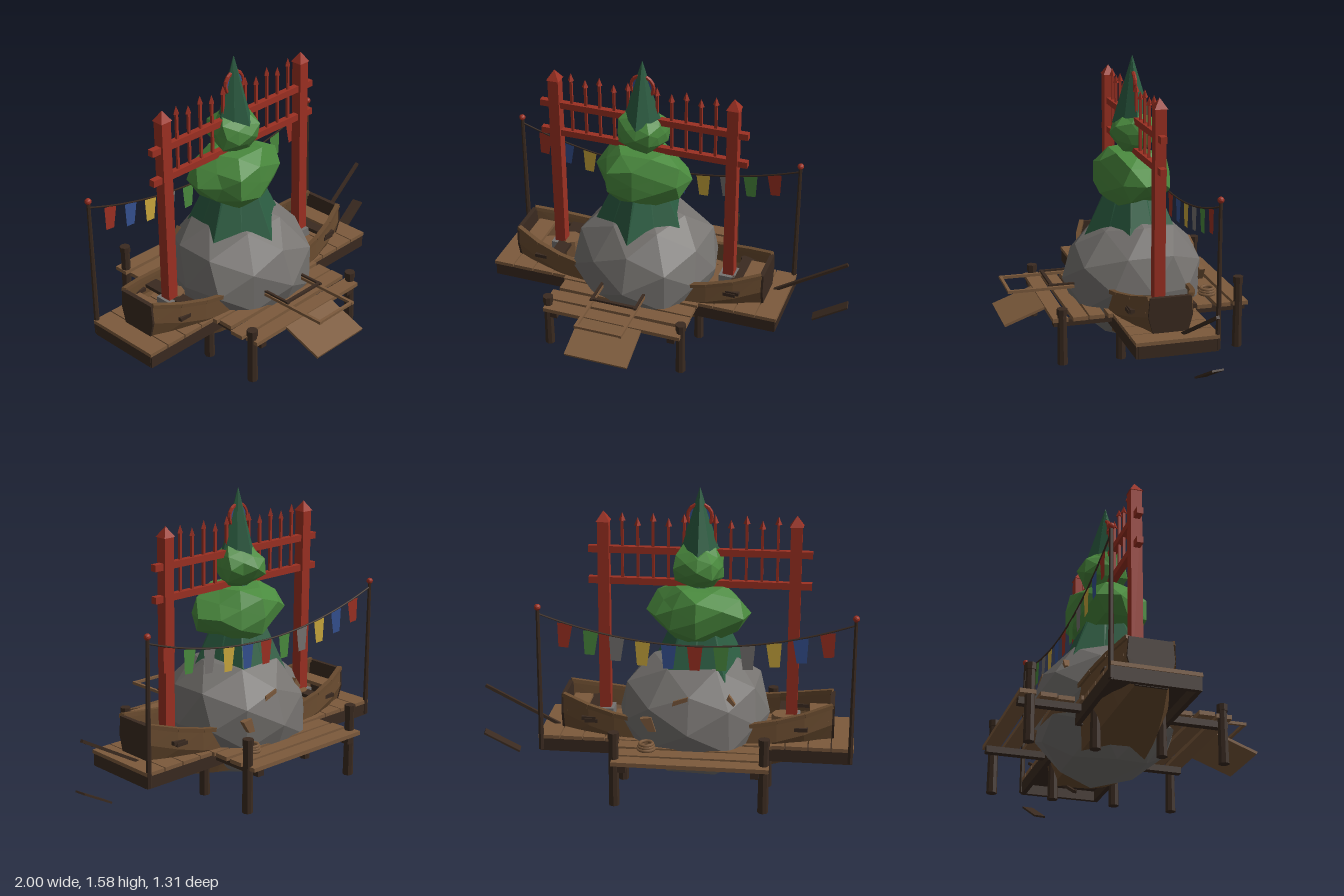
import * as THREE from 'three';

const mat = (name, color) => Object.assign(new THREE.MeshStandardMaterial({ color }), { name });
const CX = -0.165, CZ = -0.11; // axis shared by boat, boulder, tree and gate

export function createModel() {
  const root = new THREE.Group();
  const wood = mat('plank wood', 0x7c5a3c), hullWood = mat('hull wood', 0x694b2f), dark = mat('dark wood', 0x3a2a20);
  const red = mat('red paint', 0x9c3022), stone = mat('grey stone', 0x75726f);
  const leaf = mat('light needles', 0x4a8a3e), pine = mat('dark needles', 0x2b5c41);
  const yellow = mat('yellow cloth', 0xc9a63c), blue = mat('blue cloth', 0x34508f);
  const hullSkin = hullWood.clone();
  hullSkin.side = THREE.DoubleSide;
  const twoSided = (m) => Object.assign(m.clone(), { side: THREE.DoubleSide });

  const flat = (g) => {
    const n = g.index ? g.toNonIndexed() : g;
    n.computeVertexNormals();
    return n;
  };
  const add = (name, geo, m, x = 0, y = 0, z = 0) => {
    const mesh = new THREE.Mesh(geo, m);
    mesh.name = name;
    mesh.position.set(x, y, z);
    root.add(mesh);
    return mesh;
  };
  const box = (name, m, w, h, d, x, y, z) => add(name, new THREE.BoxGeometry(w, h, d), m, x, y, z);
  const cyl = (name, m, rt, rb, h, sides, x, y, z) =>
    add(name, flat(new THREE.CylinderGeometry(rt, rb, h, sides)), m, x, y, z);
  // square bar whose long axis runs from a to b
  const bar = (name, m, a, b, w, t) => {
    const p = new THREE.Vector3(...a), q = new THREE.Vector3(...b);
    const mesh = add(name, new THREE.BoxGeometry(w, t, p.distanceTo(q)), m);
    mesh.position.copy(p).add(q).multiplyScalar(0.5);
    mesh.lookAt(q);
    return mesh;
  };
  // faceted lump: icosphere whose vertices are pushed in or out by a position hash
  const lump = (name, m, r, c, amount, seed) => {
    const g = new THREE.IcosahedronGeometry(1, 1), p = g.attributes.position, v = new THREE.Vector3();
    for (let i = 0; i < p.count; i++) {
      v.fromBufferAttribute(p, i);
      const k = Math.sin(Math.round(v.x * 50) * 1.7 + Math.round(v.y * 50) * 2.9 + Math.round(v.z * 50) * 4.3 + seed);
      v.multiplyScalar(1 + amount * k);
      p.setXYZ(i, v.x * r[0], v.y * r[1], v.z * r[2]);
    }
    return add(name, flat(g), m, ...c);
  };

  // Boulder
  lump('boulder', stone, [0.415, 0.365, 0.395], [-0.145, 0.368, CZ], 0.035, 1);

  // Tree: ragged skirt, two leafy tiers and a pointed crown
  const ragged = (name, rTop, rBottom, h, sides, y, ragY) => {
    const g = new THREE.CylinderGeometry(rTop, rBottom, h, sides, 1), p = g.attributes.position;
    for (let i = 0; i < p.count; i++) {
      if (p.getY(i) > 0) continue;
      const a = Math.round((Math.atan2(p.getX(i), p.getZ(i)) / (Math.PI * 2)) * sides + sides);
      const k = a % 2 ? 0.8 : 1.08;
      p.setXYZ(i, p.getX(i) * k, p.getY(i) + (a % 2 ? ragY : 0), p.getZ(i) * k);
    }
    return add(name, flat(g), pine, CX, y + h / 2, CZ);
  };
  ragged('treeSkirt', 0.04, 0.26, 0.52, 10, 0.575, 0.06);
  lump('lowerFoliage', leaf, [0.255, 0.165, 0.205], [CX, 0.92, CZ], 0.12, 4);
  lump('upperFoliage', leaf, [0.138, 0.125, 0.14], [CX, 1.17, CZ - 0.01], 0.12, 2);
  ragged('treeCrown', 0.002, 0.105, 0.36, 8, 1.22, 0.03);

  // Boat hull lofted from stations; u runs -1 to 1 along x
  const L = 0.715;
  const section = (u) => {
    const e = u * u, wTop = 0.225 - 0.115 * e * Math.abs(u), yTop = 0.355 + 0.105 * e;
    const wLow = 0.17 - 0.09 * e, yLow = 0.085 + 0.13 * e, x = CX + u * L;
    const wMid = wTop * 0.97 + 0.012, yMid = (yTop + yLow) / 2 + 0.02;
    return [[wTop, yTop], [wMid, yMid], [wLow, yLow], [-wLow, yLow], [-wMid, yMid], [-wTop, yTop]]
      .map(([z, y]) => [x, y, CZ + z]);
  };
  const stations = [-1, -0.8, -0.6, -0.4, -0.2, 0, 0.2, 0.4, 0.6, 0.8, 1].map(section);
  const hullPts = [];
  for (let i = 0; i < stations.length - 1; i++) {
    const s = stations[i], t = stations[i + 1];
    for (let j = 0; j < 5; j++) hullPts.push(...s[j], ...s[j + 1], ...t[j], ...t[j], ...s[j + 1], ...t[j + 1]);
    for (const j of [0, 5]) bar('gunwale', hullWood, s[j], t[j], 0.026, 0.022);
  }
  const hull = new THREE.BufferGeometry();
  hull.setAttribute('position', new THREE.Float32BufferAttribute(hullPts, 3));
  hull.computeVertexNormals();
  add('boatHull', hull, hullSkin);
  for (const u of [-1, 1]) {
    const shape = new THREE.Shape(section(u).map(([, y, z]) => new THREE.Vector2(-z, y)));
    const g = new THREE.ExtrudeGeometry(shape, { depth: 0.024, bevelEnabled: false });
    g.translate(0, 0, -0.012).rotateY(Math.PI / 2);
    add('transom', g, dark, CX + u * L, 0, 0);
    // inner end plank, bench and oar rests
    box('bench', dark, 0.075, 0.02, 0.36, CX + u * 0.47 + 0.1 * (u > 0), 0.355, CZ);
    box('endBench', wood, 0.1, 0.02, 0.25, CX + u * 0.645, 0.37, CZ);
    for (const s of [-1, 1]) box('hullCleat', dark, 0.07, 0.02, 0.02, CX + u * 0.555, 0.345, CZ + s * 0.175);
    box('gateFooting', stone, 0.09, 0.05, 0.1, CX + u * 0.5, 0.34, CZ);
  }
  cyl('barrel', wood, 0.06, 0.07, 0.2, 8, -0.62, 0.27, -0.13);

  // Side platforms: dark frames with crosswise planks
  for (const [x0, x1] of [[-1, -0.4], [0.07, 0.67]]) {
    const mid = (x0 + x1) / 2, w = x1 - x0;
    for (const z of [-0.325, 0.09]) box('platformBeam', dark, w - 0.02, 0.07, 0.025, mid, 0.217, z);
    for (const x of [x0 + 0.02, x1 - 0.02]) box('platformEndBeam', dark, 0.025, 0.07, 0.42, x, 0.217, -0.118);
    box('platformUnderside', dark, w - 0.03, 0.015, 0.42, mid, 0.243, -0.118);
    for (let i = 0; i < 5; i++) {
      box('platformPlank', wood, w / 5 - 0.006, 0.02, 0.445, x0 + (w / 5) * (i + 0.5), 0.261, -0.118);
    }
  }

  // Cross dock: lengthwise planks on stringers, front and back
  const planks = [-0.615, -0.513, -0.413, -0.315, 0.09, 0.187, 0.286, 0.388];
  planks.forEach((z, i) => {
    const p = box('dockPlank', wood, 0.8 - 0.015 * (i % 3), 0.022, 0.082, CX + 0.006 * ((i % 3) - 1), 0.262, z);
    p.rotation.y = 0.012 * Math.sin(i * 2.3);
  });
  for (const x of [-0.5, 0.175]) {
    box('dockStringer', dark, 0.04, 0.035, 0.32, x, 0.233, -0.49);
    box('dockStringer', dark, 0.04, 0.035, 0.34, x, 0.233, 0.25);
  }
  for (const x of [-0.545, 0.22]) {
    for (const [z, top] of [[0.38, 0.32], [0.06, 0.25], [-0.275, 0.25], [-0.6, 0.41]]) {
      cyl('piling', dark, 0.024, 0.028, top - 0.015, 8, x, (top + 0.015) / 2, z);
      if (top > 0.3) cyl('pilingCap', dark, 0.029, 0.029, 0.035, 8, x, top - 0.012, z);
    }
  }

  // Gangway ramp and the loose ladder jutting from the boulder
  bar('ramp', wood, [CX, 0.263, 0.42], [CX, 0.178, 0.65], 0.355, 0.014);
  for (const x of [-0.285, -0.035]) {
    box('ladderRail', wood, 0.016, 0.016, 0.42, x, 0.352, 0.41);
    box('ladderBrace', dark, 0.014, 0.01, 0.19, x, 0.37, 0.3);
  }
  box('ladderRung', dark, 0.265, 0.012, 0.018, -0.16, 0.37, 0.38);
  box('ladderEnd', wood, 0.265, 0.014, 0.016, -0.16, 0.352, 0.61);

  // Red gate: posts, rails, pickets and round crest
  for (const x of [-0.664, 0.338]) {
    box('gatePost', red, 0.06, 1.1, 0.06, x, 0.85, CZ);
    cyl('gatePostTip', red, 0, 0.05, 0.055, 4, x, 1.42, CZ).rotation.y = Math.PI / 4;
  }
  for (const y of [1.075, 1.243]) box('gateRail', red, 1.17, 0.036, 0.034, CX, y, CZ);
  for (let i = 0; i < 11; i++) {
    const x = -0.57 + i * 0.081, top = i % 2 ? 1.375 : 1.4;
    box('picket', red, 0.014, top - 1.07, 0.014, x, (top + 1.07) / 2, CZ);
    cyl('picketTip', red, 0, 0.018, 0.045, 4, x, top + 0.02, CZ);
  }
  add('gateCrest', flat(new THREE.TorusGeometry(0.062, 0.011, 6, 16)), red, CX, 1.432, CZ);
  const disc = cyl('crestDisc', blue, 0.055, 0.055, 0.009, 14, CX, 1.432, CZ);
  disc.rotation.x = Math.PI / 2;

  // Bunting: poles, sagging line and tapered flags
  for (const x of [-0.98, 0.652]) {
    cyl('buntingPole', dark, 0.01, 0.015, 0.78, 6, x, 0.58, -0.335);
    add('poleKnob', flat(new THREE.IcosahedronGeometry(0.018, 1)), red, x, 0.98, -0.335);
  }
  const sagY = (x) => 0.945 - 0.145 * (1 - ((x - CX) / 0.816) ** 2);
  const linePts = Array.from({ length: 13 }, (_, i) => -0.98 + i * 0.136).map((x) => new THREE.Vector3(x, sagY(x), -0.335));
  add('buntingLine', new THREE.TubeGeometry(new THREE.CatmullRomCurve3(linePts), 32, 0.005, 5), dark);
  const cloth = [red, blue, yellow, stone, leaf].map(twoSided);
  const flag = new THREE.ShapeGeometry(new THREE.Shape(
    [[-0.04, 0], [-0.026, -0.13], [0.026, -0.13], [0.04, 0]].map(([x, y]) => new THREE.Vector2(x, y))));
  for (let i = 0; i < 11; i++) {
    const x = -0.84 + i * 0.135;
    const f = add('flag', flag, cloth[i % 5], x, sagY(x) - 0.002, -0.335);
    f.rotation.z = 0.3 * (x - CX) * 0.4;
  }

  // Broken oar: shaft and detached blade
  bar('oarShaft', dark, [0.3, 0.1, -0.13], [0.975, 0.49, -0.215], 0.018, 0.016);
  bar('oarBlade', dark, [0.805, 0.115, -0.19], [0.992, 0.222, -0.215], 0.065, 0.01);

  // Rope coil and splinters of wood against the boulder
  for (let i = 0; i < 3; i++) {
    const c = add('ropeCoil', new THREE.TorusGeometry(0.042 - i * 0.004, 0.009, 6, 16), wood, 0.07, 0.282 + i * 0.013, -0.475);
    c.rotation.x = Math.PI / 2;
  }
  const chips = [[0.055, 0.41, 0.165, 0.2], [-0.34, 0.5, -0.385, 0.6], [-0.1, 0.52, -0.44, 1.3], [0.06, 0.4, -0.45, -0.5]];
  const chip = new THREE.ExtrudeGeometry(new THREE.Shape(
    [[-0.03, 0.03], [-0.015, -0.05], [0.02, -0.03], [0.025, 0.05]].map(([x, y]) => new THREE.Vector2(x, y))),
  { depth: 0.03, bevelEnabled: false });
  for (const [x, y, z, r] of chips) add('splinter', chip, wood, x, y, z).rotation.z = r;

  return root;
}
